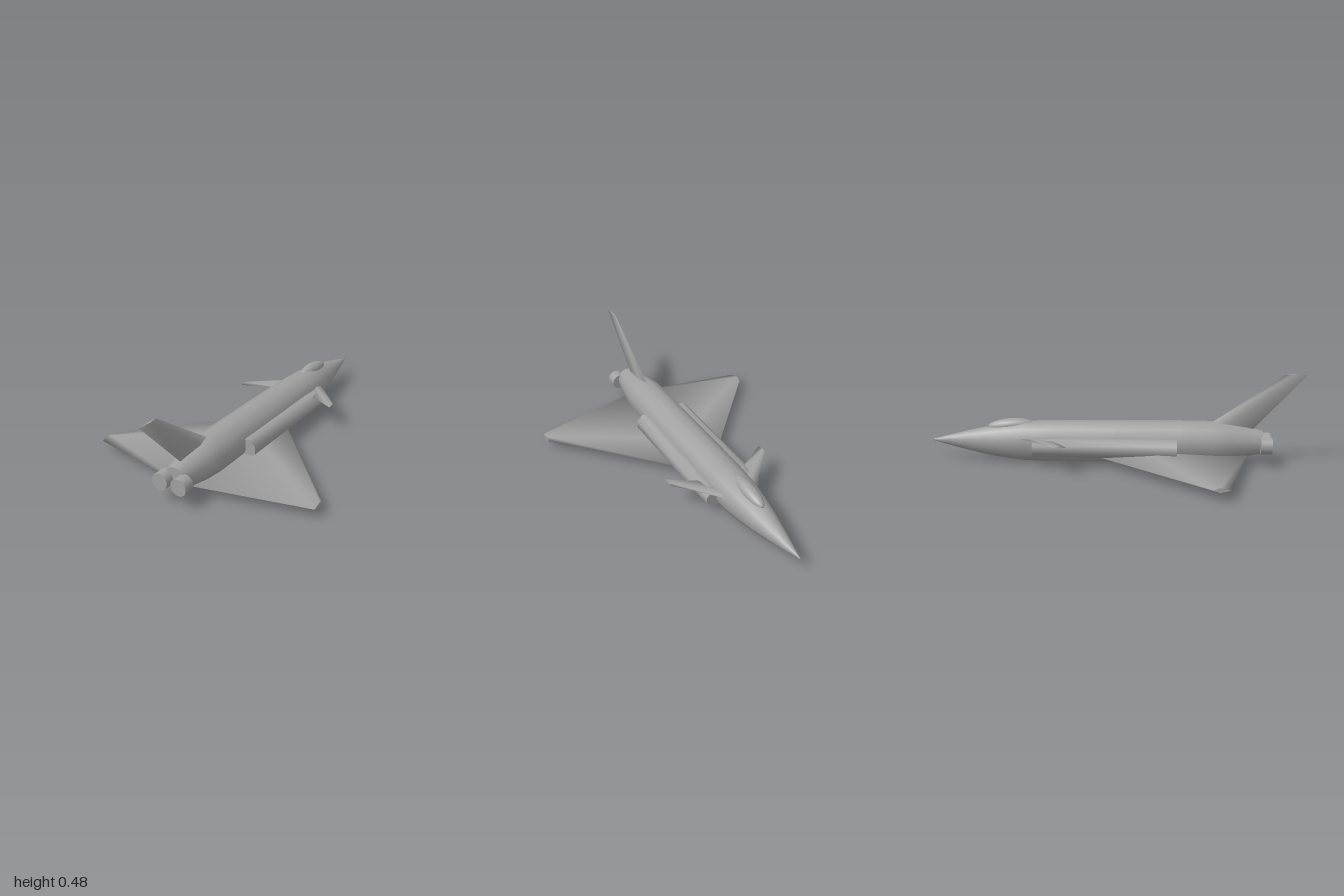
import * as THREE from 'three';

const grey = new THREE.MeshStandardMaterial({ color: 0xa0a0a0 });
grey.name = 'airframe grey';

// Skins a row of equal closed loops; side normals are smooth, end caps are flat.
function loft(loops) {
  const n = loops[0].length;
  const pos = loops.flat(2);
  const idx = [];
  for (let r = 0; r < loops.length - 1; r++) {
    for (let i = 0; i < n; i++) {
      const a = r * n + i, b = r * n + (i + 1) % n;
      idx.push(a, b, b + n, a, b + n, a + n);
    }
  }
  for (const last of [false, true]) {
    const base = pos.length / 3;
    pos.push(...loops[last ? loops.length - 1 : 0].flat());
    for (let i = 1; i < n - 1; i++) {
      if (last) idx.push(base, base + i, base + i + 1);
      else idx.push(base, base + i + 1, base + i);
    }
  }
  const g = new THREE.BufferGeometry();
  g.setAttribute('position', new THREE.Float32BufferAttribute(pos, 3));
  g.setIndex(idx);
  g.computeVertexNormals();
  return g;
}

// Polygonal ring across z with its flat sides up and down
function ring(cx, cy, z, rx, ry, sides) {
  return Array.from({ length: sides }, (_, i) => {
    const a = (i + 0.5) / sides * Math.PI * 2;
    const k = 1 / Math.cos(Math.PI / sides);
    return [cx + Math.cos(a) * rx * k, cy + Math.sin(a) * ry * k, z];
  });
}

// Four-point wing section: ridge at 35% of the chord
function wingSection(x, y, front, back, half) {
  const ridge = front + (back - front) * 0.35;
  return [[x, y + half, ridge], [x, y, back], [x, y - half, ridge], [x, y, front]];
}

function finSection(y, front, back, half) {
  const ridge = front + (back - front) * 0.35;
  return [[0, y, back], [half, y, ridge], [0, y, front], [-half, y, ridge]];
}

export function createModel() {
  const model = new THREE.Group();
  model.name = 'deltaJet';
  const add = (name, geometry) => {
    const mesh = new THREE.Mesh(geometry, grey);
    mesh.name = name;
    model.add(mesh);
    return mesh;
  };

  // Fuselage: z, centre height, half width, half height
  const stations = [
    [-1, 0.105, 0.001, 0.001], [-0.9, 0.105, 0.025, 0.027], [-0.8, 0.105, 0.047, 0.051],
    [-0.7, 0.105, 0.067, 0.073], [-0.6, 0.106, 0.083, 0.09], [-0.5, 0.107, 0.095, 0.102],
    [-0.35, 0.108, 0.102, 0.108], [0, 0.112, 0.103, 0.108], [0.35, 0.117, 0.103, 0.106],
    [0.52, 0.119, 0.101, 0.103], [0.6, 0.119, 0.09, 0.093], [0.69, 0.119, 0.074, 0.077],
    [0.775, 0.118, 0.058, 0.06],
  ];
  add('fuselage', loft(stations.map(([z, y, rx, ry]) => ring(0, y, z, rx, ry, 12))));

  // Canopy bubble, following the slope of the nose
  const canopy = add('canopy', new THREE.SphereGeometry(1, 24, 16));
  canopy.scale.set(0.038, 0.037, 0.125);
  canopy.position.set(0, 0.191, -0.567);
  canopy.rotation.x = -0.09;

  // Delta wing and canards run through the body
  add('deltaWing', loft([
    wingSection(-0.63, 0.05, 0.49, 0.57, 0.013),
    wingSection(0, 0.05, -0.2, 0.705, 0.032),
    wingSection(0.63, 0.05, 0.49, 0.57, 0.013),
  ]));
  for (const s of [-1, 1]) {
    const sections = [
      wingSection(s * 0.06, 0.133, -0.53, -0.362, 0.009),
      wingSection(s * 0.283, 0.146, -0.29, -0.235, 0.004),
    ];
    add(s > 0 ? 'leftCanard' : 'rightCanard', loft(s > 0 ? sections : sections.reverse()));
  }

  // Swept tail fin
  add('tailFin', loft([
    finSection(0.185, 0.46, 0.725, 0.017),
    finSection(0.48, 0.885, 1, 0.005),
  ]));

  // Side intakes and engine nozzles
  for (const s of [-1, 1]) {
    const side = s > 0 ? 'left' : 'right';
    add(side + 'Intake', loft([
      ring(s * 0.106, 0.095, -0.43, 0.048, 0.044, 8),
      ring(s * 0.106, 0.098, -0.3, 0.053, 0.048, 8),
      ring(s * 0.106, 0.103, 0.325, 0.054, 0.049, 8),
    ]));
    const nozzle = add(side + 'Nozzle', new THREE.CylinderGeometry(0.044, 0.044, 0.06, 24));
    nozzle.rotation.x = Math.PI / 2;
    nozzle.position.set(s * 0.054, 0.11, 0.793);
  }

  return model;
}
